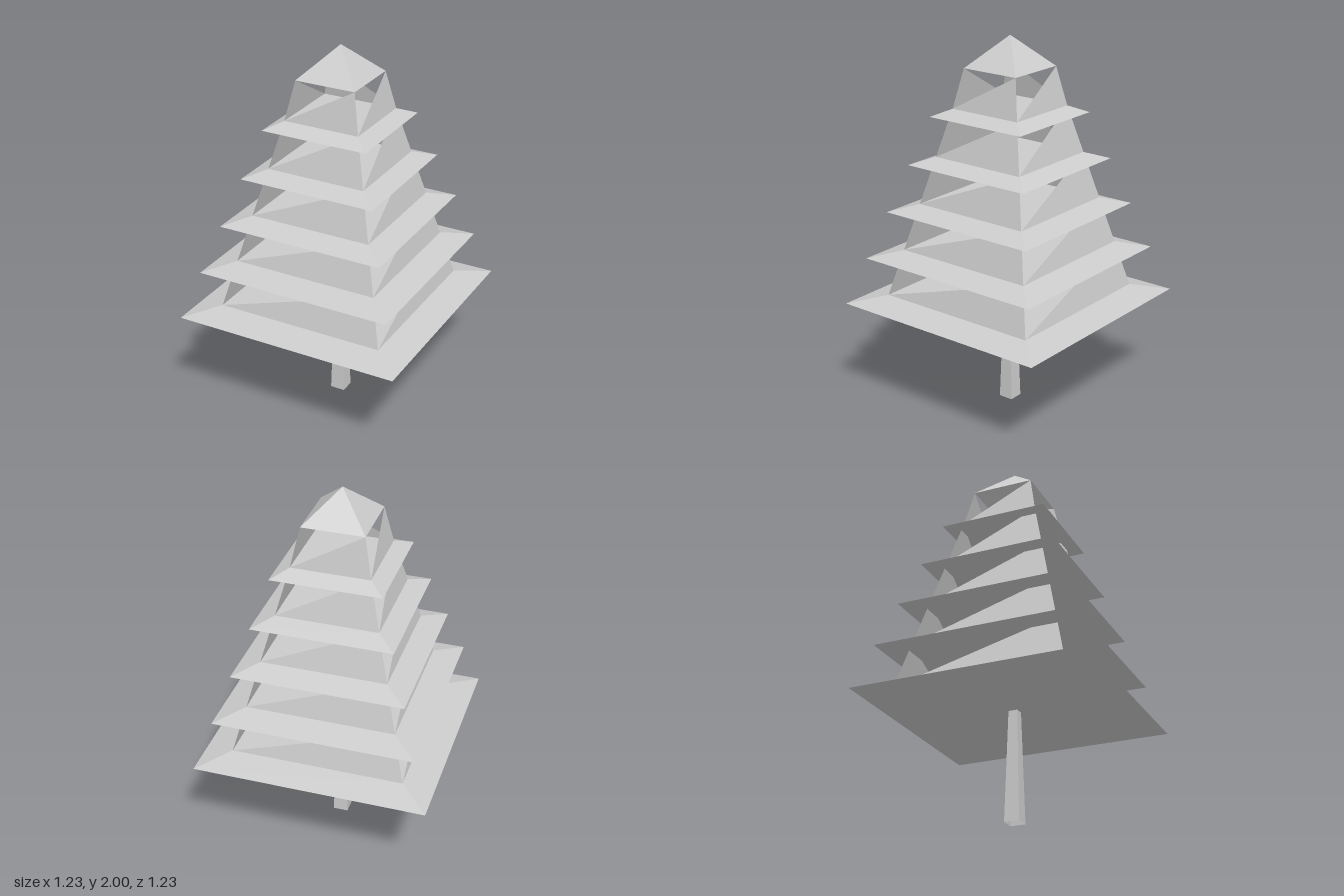
import * as THREE from 'three';

const solid = new THREE.MeshStandardMaterial({ color: 0xcccccc, flatShading: true });
const thin = new THREE.MeshStandardMaterial({ color: 0xcccccc, flatShading: true, side: THREE.DoubleSide });

// Square frustum given by half widths and heights, sides facing the axes
function frustum(name, halfBottom, halfTop, y0, y1, open) {
  const geo = new THREE.CylinderGeometry(halfTop * Math.SQRT2, halfBottom * Math.SQRT2, y1 - y0, 4, 1, open);
  geo.rotateY(Math.PI / 4);
  geo.translate(0, (y0 + y1) / 2, 0);
  const mesh = new THREE.Mesh(geo, open ? thin : solid);
  mesh.name = name;
  return mesh;
}

// Four triangular panels, each half of a sloping wall, turned around the trunk axis
function panels(name, half0, half1, y0, y1) {
  const group = new THREE.Group();
  group.name = name;
  const geo = new THREE.BufferGeometry();
  geo.setAttribute('position', new THREE.Float32BufferAttribute([
    -half0, y0, half0, half0, y0, half0, half1, y1, half1,
  ], 3));
  geo.computeVertexNormals();
  for (let i = 0; i < 4; i++) {
    const panel = new THREE.Mesh(geo, thin);
    panel.name = 'foliagePanel';
    panel.rotation.y = i * Math.PI / 2;
    group.add(panel);
  }
  return group;
}

export function createModel() {
  const tree = new THREE.Group();
  tree.name = 'tree';

  // Tapered trunk, open at the foot
  tree.add(frustum('trunk', 0.04, 0.024, 0, 0.6, true));

  // Five tiers: a flat flared skirt with open twisted panels above it
  const tiers = 5;
  const rimHalf = (i) => 0.616 - 0.0815 * i;
  const neckHalf = (i) => (i < tiers ? 0.457 - 0.0625 * i : 0.165);
  const neckY = (i) => (i < tiers ? 0.627 + 0.2505 * i : 1.836);
  for (let i = 0; i < tiers; i++) {
    tree.add(frustum('skirt' + (i + 1), rimHalf(i), neckHalf(i), neckY(i) - 0.039, neckY(i), false));
    tree.add(panels('panels' + (i + 1), neckHalf(i), neckHalf(i + 1), neckY(i), neckY(i + 1)));
  }

  // Hollow pyramid tip
  tree.add(frustum('tip', 0.165, 0, 1.836, 2, true));
  return tree;
}
